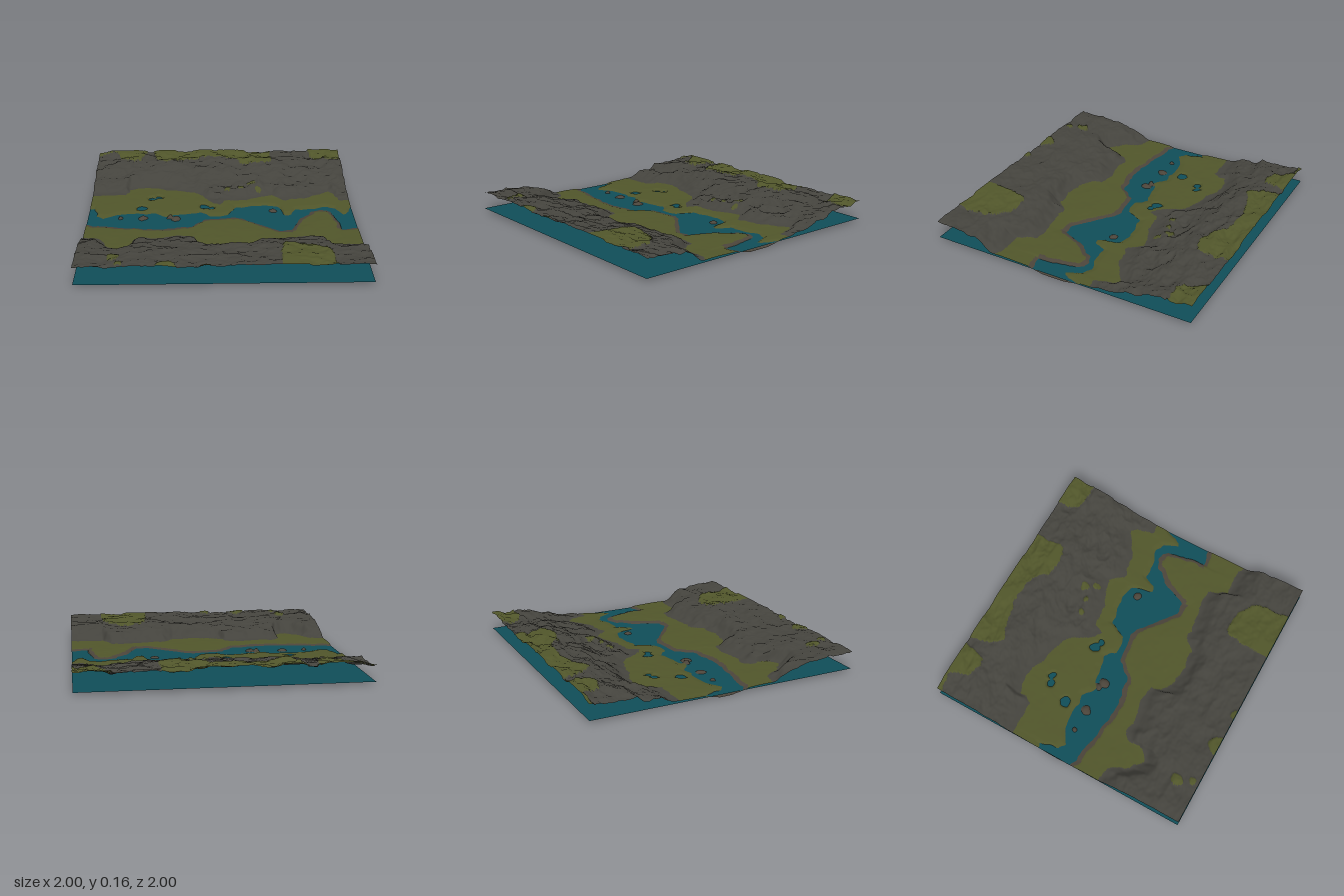
import * as THREE from 'three';

const WATER = 0.018, TOP = 0.16, N = 240;

// Plan curves as x, z pairs: river banks, foot of the cliffs, edge of the far plateau meadow
const southBank = [-1, .12, -.8, .15, -.6, .19, -.42, .2, -.25, .17, -.18, .1, -.13, .04, 0, .02, .12, .02, .19, .05, .27, .13,
  .37, .21, .43, .235, .51, .235, .56, .12, .6, .03, .68, -.05, .75, -.1, .8, -.1, .84, -.06, .865, .04, .88, .23, .92, .22, 1, .2];
const northBank = [-1, -.14, -.96, -.16, -.93, -.02, -.88, .01, -.8, -.03, -.72, -.06, -.5, -.06, -.42, -.02, -.3, -.05, -.15, -.07,
  -.08, -.02, .06, -.03, .1, -.15, .2, -.17, .32, -.2, .43, -.18, .455, -.12, .47, -.02, .53, -.03, .57, -.1, .7, -.13, .8, -.15,
  .88, -.12, .92, -.03, .95, -.04, 1, -.14];
const northFoot = [-1, -.36, -.75, -.37, -.71, -.47, -.6, -.5, -.5, -.5, -.4, -.45, -.2, -.4, -.13, -.33, -.06, -.21, -.01, -.18, .03, -.26,
  .2, -.28, .3, -.33, .42, -.35, .48, -.26, .65, -.28, .75, -.35, .86, -.4, .89, -.36, .92, -.25, 1, -.24];
const southFoot = [-1, .35, -.9, .37, -.85, .45, -.8, .52, -.72, .57, -.65, .53, -.63, .38, -.58, .35, -.5, .37, -.3, .33, -.2, .35,
  -.18, .43, -.1, .48, 0, .5, .2, .48, .28, .4, .4, .4, .55, .37, .62, .35, .7, .37, .75, .5, .95, .5, 1, .53];
const northMeadow = [-1, -.97, -.95, -.98, -.85, -.98, -.8, -.86, -.7, -.81, -.64, -.83, -.62, -.95, -.56, -1.1, -.52, -.84, -.45, -.77,
  -.35, -.8, -.25, -.83, -.1, -.86, 0, -.85, .1, -.83, .18, -.76, .3, -.74, .42, -.75, .44, -1, .5, -1.1, .72, -1.1, .78, -.86, .85, -.83, 1, -.83];
const southMeadow = [.37, 1.1, .38, .95, .4, .7, .42, .65, .47, .63, .6, .65, .7, .71, .74, .77, .75, 1.1];

// Mean valley height as z, y pairs
const valley = [-1, .15, -.9, .132, -.8, .135, -.7, .122, -.6, .1, -.5, .075, -.4, .065, -.3, .045, -.2, .03,
  .3, .04, .4, .075, .5, .088, .6, .11, .7, .125, .8, .137, 1, .15];

// Small ponds, islands and grassy patches: x, z, radius
const ponds = [[-.47, -.34, .03], [-.53, -.31, .035], [-.61, -.16, .04], [-.13, -.17, .035], [-.08, -.14, .025]];
const islands = [[-.59, .02, .045], [-.34, .03, .04], [-.39, .0, .025], [.39, -.09, .04], [-.75, .02, .02]];
const patches = [[-.74, .84, .045], [-.7, .95, .025], [-.38, 1, .07], [-.12, 1, .04], [.25, -.47, .03], [.16, -.41, .02], [.05, -.4, .02], [.3, -.4, .025]];

const clamp = THREE.MathUtils.clamp, mix = THREE.MathUtils.lerp, smooth = THREE.MathUtils.smoothstep;

function curve(p, t) {
  if (t <= p[0]) return p[1];
  for (let i = 2; i < p.length; i += 2) {
    if (t <= p[i]) return mix(p[i - 1], p[i + 1], (t - p[i - 2]) / (p[i] - p[i - 2]));
  }
  return p[p.length - 1];
}

function hash(i, j) {
  const s = Math.sin(i * 127.1 + j * 311.7) * 43758.5453;
  return s - Math.floor(s);
}

function noise(x, z) {
  const i = Math.floor(x), j = Math.floor(z);
  const u = smooth(x - i, 0, 1), v = smooth(z - j, 0, 1);
  return mix(mix(hash(i, j), hash(i + 1, j), u), mix(hash(i, j + 1), hash(i + 1, j + 1), u), v) * 2 - 1;
}

function fbm(x, z, octaves) {
  let sum = 0, a = 0.55;
  for (let o = 0; o < octaves; o++, a *= 0.5) {
    sum += a * noise(x + o * 17.3, z + o * 9.1);
    x *= 2.05;
    z *= 2.05;
  }
  return sum;
}

const inside = (list, x, z) => list.some(([a, b, r]) => Math.hypot(x - a, z - b) < r);

// Ragged plan position used for every boundary
function ragged(x, z) {
  return [x + 0.02 * fbm(x * 14 + 3, z * 14, 2), z + 0.025 * fbm(x * 14, z * 14 + 8, 2)];
}

// Distance outwards from the foot of the nearer cliff, negative on the valley floor
const cliffDistance = (x, z) => (z < 0 ? curve(northFoot, x) - z : z - curve(southFoot, x));

// Positive on land, negative in the river
const bankDistance = (x, z) => Math.max(curve(northBank, x) - z, z - curve(southBank, x));

function isMeadow(x, z) {
  return z < curve(northMeadow, x) || z > curve(southMeadow, x) || inside(patches, x, z);
}

function height(x0, z0) {
  const [x, z] = ragged(x0, z0);
  const cliff = cliffDistance(x, z);
  let h = WATER + clamp(0.2 * bankDistance(x, z), -WATER, 0.009);
  const floor = clamp(bankDistance(x, z) / 0.2, 0, 1);
  h += floor * (0.006 + 0.004 * fbm(x * 9, z * 9, 3));
  for (const [a, b, r] of ponds) h -= 0.026 * (1 - smooth(Math.hypot(x - a, z - b), r * 0.5, r * 1.4));
  for (const [a, b, r] of islands) h += 0.03 * (1 - smooth(Math.hypot(x - a, z - b), r * 0.3, r * 1.3));
  if (cliff > 0) {
    const rise = smooth(cliff, 0, 0.14);
    const ridge = 0.5 - Math.abs(fbm(x0 * 5, z0 * 8, 5)) * 2;
    const rough = (z < 0 ? 0.024 : 0.014) * ridge + 0.028 * fbm(x0 * 3 + 5, z0 * 4, 3) + 0.006 * fbm(x0 * 22, z0 * 30, 2);
    const meadow = isMeadow(x, z) ? 0.012 : 0;
    h = mix(h, curve(valley, z0) + rough + meadow, rise);
  }
  return clamp(h, 0, TOP);
}

// 0 grass, 1 rock, 2 riverbank earth
function ground(x0, z0, y) {
  const [x, z] = ragged(x0, z0);
  if (cliffDistance(x, z) > 0) return isMeadow(x, z) ? 0 : 1;
  const south = z - curve(southBank, x);
  const sideways = Math.min(z - curve(southBank, x - 0.03), z - curve(southBank, x + 0.03));
  const northern = z < curve(northBank, x);
  if (!northern && (south < 0.035 || sideways < 0.015)) return 2;
  return y < WATER - 0.002 ? 2 : 0;
}

function terrainGeometry() {
  const positions = [], lists = [[], [], []], row = N + 1;
  for (let j = 0; j <= N; j++) {
    for (let i = 0; i <= N; i++) {
      const x = -1 + 2 * i / N, z = -1 + 2 * j / N;
      positions.push(x, height(x, z), z);
    }
  }
  const addFace = (...corners) => {
    const mean = k => corners.reduce((s, c) => s + positions[c * 3 + k], 0) / 3;
    lists[ground(mean(0), mean(2), mean(1))].push(...corners);
  };
  for (let j = 0; j < N; j++) {
    for (let i = 0; i < N; i++) {
      const a = j * row + i, b = a + 1, c = a + row, d = c + 1;
      addFace(a, c, b);
      addFace(b, c, d);
    }
  }
  const geometry = new THREE.BufferGeometry();
  geometry.setAttribute('position', new THREE.Float32BufferAttribute(positions, 3));
  geometry.setIndex(lists.flat());
  let start = 0;
  lists.forEach((list, m) => {
    geometry.addGroup(start, list.length, m);
    start += list.length;
  });
  geometry.computeVertexNormals();
  return geometry;
}

function flatMaterial(name, color) {
  const material = new THREE.MeshStandardMaterial({ color, side: THREE.DoubleSide });
  material.name = name;
  return material;
}

export function createModel() {
  const model = new THREE.Group();
  model.name = 'riverValley';

  // Valley ground with grass, rock and earth faces
  const terrain = new THREE.Mesh(terrainGeometry(), [
    flatMaterial('grass', 0x50552a),
    flatMaterial('rock', 0x44433d),
    flatMaterial('earth', 0x4b443a),
  ]);
  terrain.name = 'terrain';

  // Flat water sheet under the whole valley
  const water = new THREE.Mesh(new THREE.PlaneGeometry(2, 2).rotateX(-Math.PI / 2), flatMaterial('water', 0x0f4d58));
  water.name = 'water';
  water.position.y = WATER;

  model.add(terrain, water);
  return model;
}
